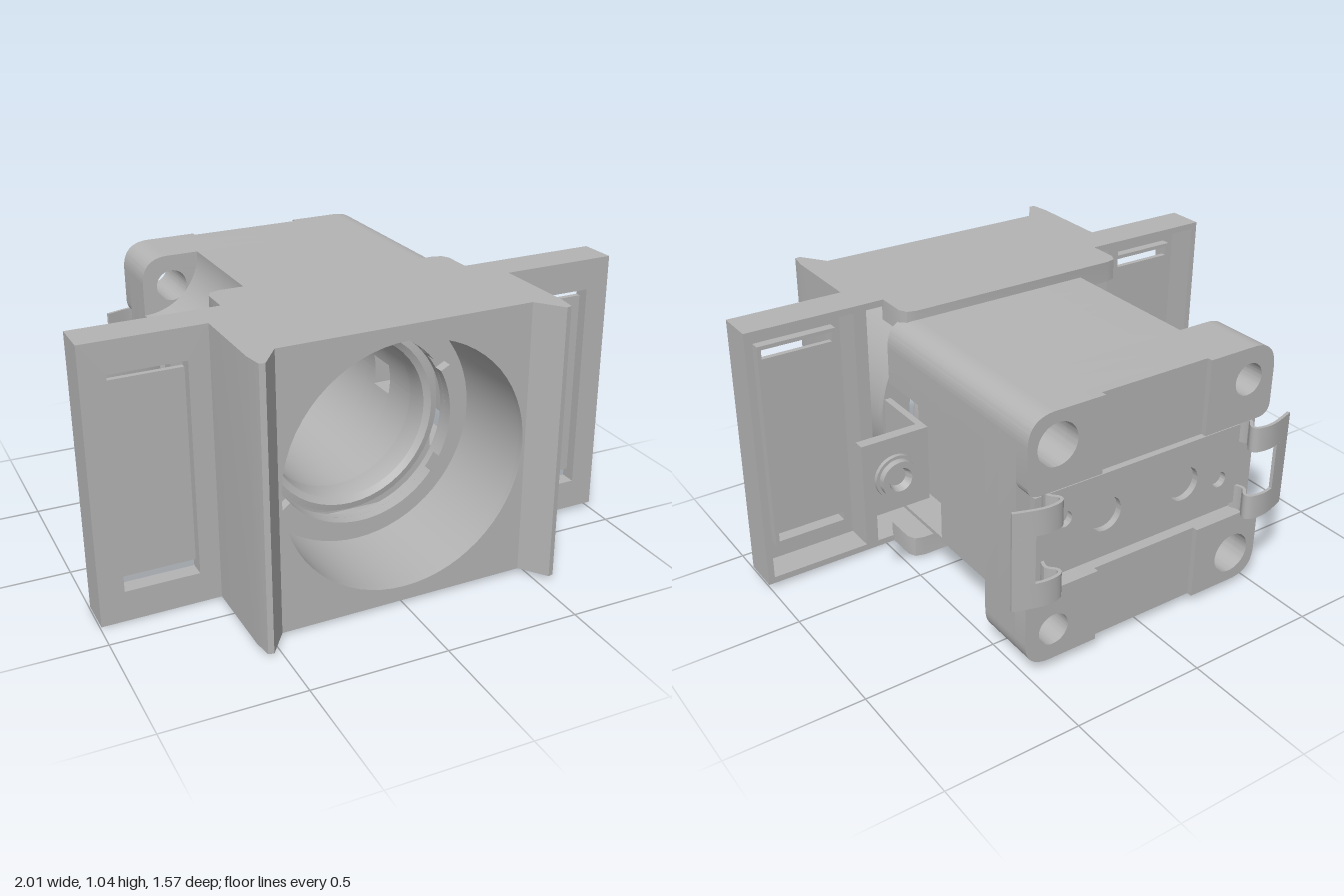
import * as THREE from 'three';
import { toCreasedNormals } from 'three/addons/utils/BufferGeometryUtils.js';

const grey = new THREE.MeshStandardMaterial({ color: 0xb4b4b4, side: THREE.DoubleSide });
grey.name = 'housing grey';

export function createModel() {
  const model = new THREE.Group();
  model.name = 'lampHolder';
  // All parts are laid out around the optical axis (y = 0 here)
  const core = new THREE.Group();
  core.name = 'assembly';
  model.add(core);

  const add = (name, geo) => {
    const m = new THREE.Mesh(toCreasedNormals(geo.index ? geo.toNonIndexed() : geo, 0.5), grey);
    m.name = name;
    core.add(m);
    return m;
  };
  const box = (name, x0, x1, y0, y1, z0, z1) => add(name,
    new THREE.BoxGeometry(x1 - x0, y1 - y0, z1 - z0).translate((x0 + x1) / 2, (y0 + y1) / 2, (z0 + z1) / 2));
  // Extrude an xy shape from z0 to z1
  const extZ = (name, shape, z0, z1) => add(name,
    new THREE.ExtrudeGeometry(shape, { depth: z1 - z0, bevelEnabled: false, curveSegments: 32 }).translate(0, 0, z0));
  // Extrude an [x, z] outline from y0 to y1
  const extY = (name, pts, y0, y1) => add(name,
    new THREE.ExtrudeGeometry(new THREE.Shape(pts.map(([x, z]) => new THREE.Vector2(x, -z))),
      { depth: y1 - y0, bevelEnabled: false }).rotateX(-Math.PI / 2).translate(0, y0, 0));
  const circle = (x, y, r) => new THREE.Path().absarc(x, y, r, 0, Math.PI * 2, true);
  const rect = (x0, x1, y0, y1, C = THREE.Shape) => new C()
    .moveTo(x0, y0).lineTo(x1, y0).lineTo(x1, y1).lineTo(x0, y1).closePath();
  const withHoles = (shape, ...holes) => { shape.holes.push(...holes); return shape; };
  const ring = (name, rIn, rOut, z0, z1) => {
    const s = new THREE.Shape().absarc(0, 0, rOut, 0, Math.PI * 2);
    return extZ(name, withHoles(s, circle(0, 0, rIn)), z0, z1);
  };
  const lathe = (name, pts, x = 0) => add(name,
    new THREE.LatheGeometry(pts.map(([r, z]) => new THREE.Vector2(r, z)), 48).rotateX(Math.PI / 2).translate(x, 0, 0));

  // ---- Socket body ----
  const W = 0.515, H = 0.475, R = 0.31;
  // Half of the body section: waist half width w, gap g at the middle
  const halfSection = (w, g) => {
    const bx = Math.sqrt(R * R - g * g), a = Math.asin(g / R);
    const s = new THREE.Shape();
    s.moveTo(bx, g).lineTo(w, g);
    if (w < W) s.lineTo(w, 0.235);
    s.lineTo(W, 0.235).lineTo(W, 0.37).quadraticCurveTo(W, H, 0.41, H).lineTo(-0.29, H);
    s.absarc(-W, H, 0.225, 0, -Math.PI / 2, true);
    if (w < W) s.lineTo(-W, 0.235).lineTo(-w, 0.235);
    s.lineTo(-w, g).lineTo(-bx, g);
    s.absarc(0, 0, R, Math.PI - a, a, true);
    return s;
  };
  const sections = [[W, 0, -0.48, -0.2], [0.4, 0, -0.2, -0.14], [0.4, 0.06, -0.14, -0.02], [0.4, 0, -0.02, 0.14]];
  for (const [w, g, z0, z1] of sections) {
    extZ('bodyUpper', halfSection(w, g), z0, z1);
    extZ('bodyLower', halfSection(w, g), z0, z1).rotation.z = Math.PI;
  }
  const bodyOutline = () => {
    const s = new THREE.Shape().moveTo(W, -0.37).lineTo(W, 0.37).quadraticCurveTo(W, H, 0.41, H);
    s.lineTo(-0.41, H).quadraticCurveTo(-W, H, -W, 0.37).lineTo(-W, -0.37);
    return s.quadraticCurveTo(-W, -H, -0.41, -H).lineTo(0.41, -H).quadraticCurveTo(W, -H, W, -0.37);
  };
  const corners = [[1, 1], [1, -1], [-1, 1], [-1, -1]];
  const screwHole = ([sx, sy]) => circle(sx * 0.4, sy * 0.355, sx * sy > 0 ? 0.078 : 0.06);
  extZ('bodyRear', withHoles(bodyOutline(), circle(0, 0, R), ...corners.map(screwHole)), -0.56, -0.48);
  extZ('bodyFloor', withHoles(bodyOutline(), ...corners.map(screwHole)), -0.66, -0.56);

  // Rear pads either side of the bracket groove
  for (const c of corners) {
    const [sx, sy] = c;
    const s = new THREE.Shape().moveTo(sx * 0.22, sy * 0.19).lineTo(sx * 0.46, sy * 0.19)
      .quadraticCurveTo(sx * W, sy * 0.19, sx * W, sy * 0.24).lineTo(sx * W, sy * 0.37)
      .quadraticCurveTo(sx * W, sy * H, sx * 0.41, sy * H).lineTo(sx * 0.22, sy * H);
    extZ('rearCornerPad', withHoles(s, screwHole(c)), -0.72, -0.66);
  }
  box('rearPadTop', -0.22, 0.22, 0.19, H, -0.7, -0.66);
  box('rearPadBottom', -0.22, 0.22, -H, -0.19, -0.7, -0.66);

  // ---- Rear bracket with spring clips ----
  extZ('rearBracket', withHoles(rect(-0.46, 0.46, -0.16, 0.16), circle(-0.17, 0, 0.065), circle(0.17, 0, 0.065),
    circle(0.34, 0.04, 0.03), circle(-0.34, -0.04, 0.03)), -0.685, -0.66);
  const clipCurve = new THREE.SplineCurve([[0.42, -0.67], [0.435, -0.715], [0.41, -0.75], [0.425, -0.772], [0.49, -0.775], [0.59, -0.745]]
    .map(p => new THREE.Vector2(...p)));
  const ribbon = (side, t0, t1) => {
    const a = [], b = [];
    for (let i = 0; i <= 20; i++) {
      const t = t0 + (t1 - t0) * i / 20, p = clipCurve.getPoint(t), d = clipCurve.getTangent(t);
      a.push([side * (p.x - d.y * 0.006), p.y + d.x * 0.006]);
      b.unshift([side * (p.x + d.y * 0.006), p.y - d.x * 0.006]);
    }
    return [...a, ...b];
  };
  for (const side of [-1, 1]) {
    extY('clipArmTop', ribbon(side, 0, 1), 0.09, 0.185);
    extY('clipArmBottom', ribbon(side, 0, 1), -0.185, -0.09);
    extY('clipBar', ribbon(side, 0.85, 1), -0.09, 0.09);
  }

  // ---- Inside the socket ----
  box('contactPlate', -0.27, 0.17, -0.125, 0.115, -0.56, -0.53);
  lathe('centreContact', [[0, -0.515], [0.055, -0.515], [0.055, -0.53]]);

  // ---- Socket collar ----
  lathe('collar', [[0.31, 0.14], [0.305, 0.2], [0.312, 0.24], [0.335, 0.255], [0.36, 0.25],
    [0.36, 0.185], [0.4, 0.18], [0.4, 0.14], [0.31, 0.14]]);

  // ---- Front housing: open-backed shell ----
  const T = 0.51;
  extZ('frontFace', withHoles(rect(-0.54, 0.54, -T, T), circle(0, 0, 0.455)), 0.66, 0.68);
  ring('openingWall', 0.455, 0.475, 0.28, 0.66);
  ring('openingLedge', 0.36, 0.475, 0.28, 0.31);
  for (const [a0, a1] of [[38, 142], [152, 208], [218, 322], [332, 388]]) {
    const k = Math.PI / 180;
    const s = new THREE.Shape().absarc(0, 0, 0.4, a0 * k, a1 * k, false);
    s.absarc(0, 0, 0.36, a1 * k, a0 * k, true);
    extZ('bayonetSegment', s, 0.31, 0.35);
  }
  for (const s of [-1, 1]) {
    // Side wall carrying the pointed front rib
    extY('sideWall', [[0.565, 0.24], [0.565, 0.7], [0.555, 0.77], [0.535, 0.775], [0.465, 0.68],
      [0.465, 0.66], [0.54, 0.66], [0.54, 0.24]].map(([x, z]) => [s * x, z]), -T, T);
    box('housingWall', -0.56, 0.56, s > 0 ? T - 0.025 : -T, s > 0 ? T : -T + 0.025, 0.24, 0.68);
    // Rear tongue over the body, with rounded corners
    extY('rearTongue', [[-0.47, 0.25], [-0.47, 0.13], [-0.455, 0.1], [-0.42, 0.09], [0.42, 0.09],
      [0.455, 0.1], [0.47, 0.13], [0.47, 0.25]], s > 0 ? 0.43 : -T, s > 0 ? T : -0.43);
  }

  // ---- Side flanges: hollow frames with a sunk window and two slots ----
  const span = (s, a, b) => s > 0 ? [a, b] : [-b, -a];
  for (const s of [-1, 1]) {
    extZ('flangeFrame', withHoles(rect(...span(s, 0.55, 1), -T, T),
      rect(...span(s, 0.59, 0.975), -0.485, 0.485, THREE.Path)), 0.24, 0.38);
    extZ('flangePanel', withHoles(rect(...span(s, 0.57, 0.99), -0.5, 0.5),
      rect(...span(s, 0.64, 0.91), -0.395, 0.395, THREE.Path)), 0.355, 0.38);
    extZ('windowSurround', withHoles(rect(...span(s, 0.625, 0.925), -0.41, 0.41),
      rect(...span(s, 0.64, 0.91), -0.395, 0.395, THREE.Path)), 0.32, 0.36);
    box('windowFloor', ...span(s, 0.63, 0.92), -0.36, 0.36, 0.32, 0.34);
  }

  // ---- Side terminals with hollow screws ----
  const screw = (x, z) => lathe('terminalScrew', [[0, z - 0.01], [0.035, z - 0.01], [0.045, z - 0.04],
    [0.07, z - 0.04], [0.07, z - 0.015], [0.082, z - 0.015], [0.082, z]], x);
  extY('rightTerminal', [[0.49, 0.18], [0.49, -0.08], [0.75, -0.08], [0.75, -0.04], [0.515, -0.04], [0.515, 0.18]], -0.14, 0.15);
  screw(0.625, -0.08);
  extY('leftTerminal', [[-0.84, -0.3], [-0.6, -0.3], [-0.53, -0.33], [-0.42, -0.22], [-0.42, 0.15],
    [-0.45, 0.15], [-0.45, -0.21], [-0.53, -0.28], [-0.59, -0.25], [-0.84, -0.25]], -0.14, 0.15);
  screw(-0.72, -0.3);

  // Slight lean of the whole assembly, then stand it on the ground
  core.rotation.set(-0.008, 0.005, 0.009);
  const b = new THREE.Box3().setFromObject(core, true);
  core.position.set(-(b.min.x + b.max.x) / 2, -b.min.y, -(b.min.z + b.max.z) / 2);
  return model;
}
